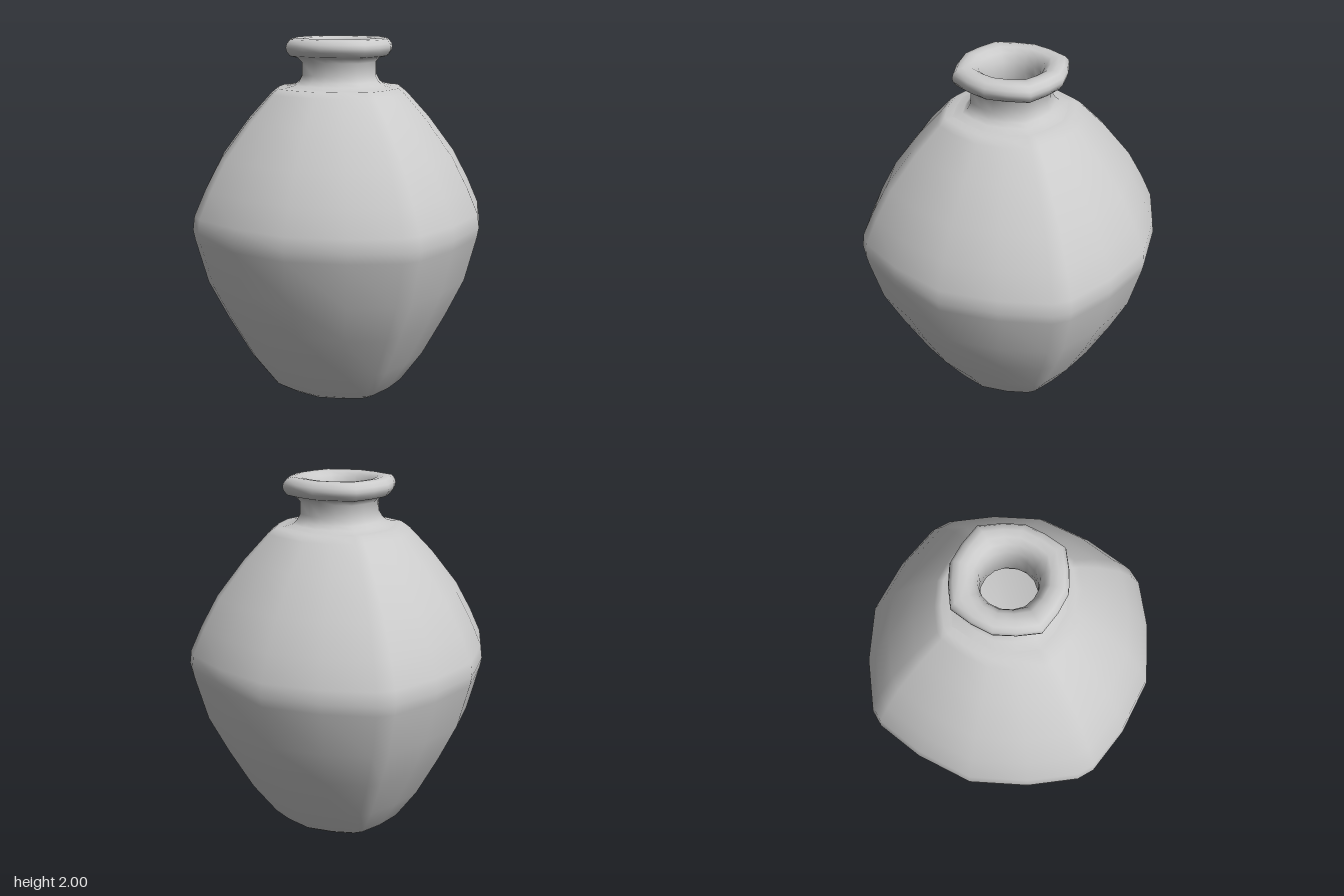
import * as THREE from 'three';

const DEG = Math.PI / 180;

// Ring of [angle, radius factor] repeated around the four quarters
function makeRing(quarter) {
  const ring = [];
  for (let q = 0; q < 4; q++)
    for (const [angle, factor] of quarter) ring.push([(angle + q * 90) * DEG, factor]);
  return ring;
}

// Squarish section with narrow bevelled ridges on the x and z axes
const bodyRing = makeRing([[-3.3, 1.002], [3.3, 1.002], [22.3, 0.948], [45, 0.951], [67.7, 0.948]]);
// Sixteen-sided section with a slight point on each axis
const rimRing = makeRing([[0, 1], [22.5, 0.92], [45, 0.93], [67.5, 0.92]]);
// Plain sixteen-sided section
const roundRing = makeRing([[0, 1], [22.5, 1], [45, 1], [67.5, 1]]);

// Sweeps a profile of [radius, height] around the axis; `blend` goes from ring a to ring b
function loft(name, profile, ringA, ringB = ringA, blend = () => 0) {
  const n = ringA.length;
  const positions = [];
  const indices = [];
  profile.forEach(([r, y], i) => {
    const t = blend(i);
    for (let j = 0; j < n; j++) {
      const angle = ringA[j][0];
      const radius = r * THREE.MathUtils.lerp(ringA[j][1], ringB[j][1], t);
      positions.push(radius * Math.cos(angle), y, radius * Math.sin(angle));
    }
  });
  for (let i = 0; i < profile.length - 1; i++) {
    for (let j = 0; j < n; j++) {
      const a = i * n + j;
      const b = i * n + (j + 1) % n;
      indices.push(a, a + n, b + n, a, b + n, b);
    }
  }
  const geometry = new THREE.BufferGeometry();
  geometry.setAttribute('position', new THREE.Float32BufferAttribute(positions, 3));
  geometry.setIndex(indices);
  geometry.computeVertexNormals();
  const material = new THREE.MeshStandardMaterial({ color: 0xcccccc, side: THREE.DoubleSide });
  const mesh = new THREE.Mesh(geometry, material);
  mesh.name = name;
  return mesh;
}

export function createModel() {
  const group = new THREE.Group();
  group.name = 'jar';

  // Base, belly and shoulder
  group.add(loft('body', [
    [0, 0], [0.3, 0], [0.36, 0.004], [0.4, 0.03], [0.535, 0.215], [0.67, 0.46], [0.778, 0.68],
    [0.845, 0.93], [0.855, 0.985], [0.845, 1.06], [0.78, 1.2], [0.688, 1.365],
    [0.534, 1.56], [0.4, 1.7], [0.36, 1.73], [0.26, 1.738],
  ], bodyRing));

  // Neck, rolled rim and mouth, turning round towards the inside
  group.add(loft('neckAndRim', [
    [0.33, 1.732], [0.27, 1.745], [0.245, 1.765], [0.225, 1.8], [0.225, 1.87], [0.25, 1.895],
    [0.295, 1.905], [0.315, 1.93], [0.32, 1.95], [0.315, 1.97], [0.295, 1.993], [0.26, 2],
    [0.215, 1.995], [0.18, 1.975], [0.155, 1.93], [0.146, 1.88], [0.146, 1.76], [0.2, 1.7],
  ], rimRing, roundRing, (i) => THREE.MathUtils.clamp((i - 11) / 4, 0, 1)));

  // Hollow inside with a flat floor
  group.add(loft('interior', [
    [0.18, 1.7], [0.35, 1.66], [0.64, 1.36], [0.8, 0.99], [0.72, 0.67],
    [0.4, 0.1], [0.34, 0.06], [0.28, 0.05], [0, 0.05],
  ], bodyRing));

  return group;
}
